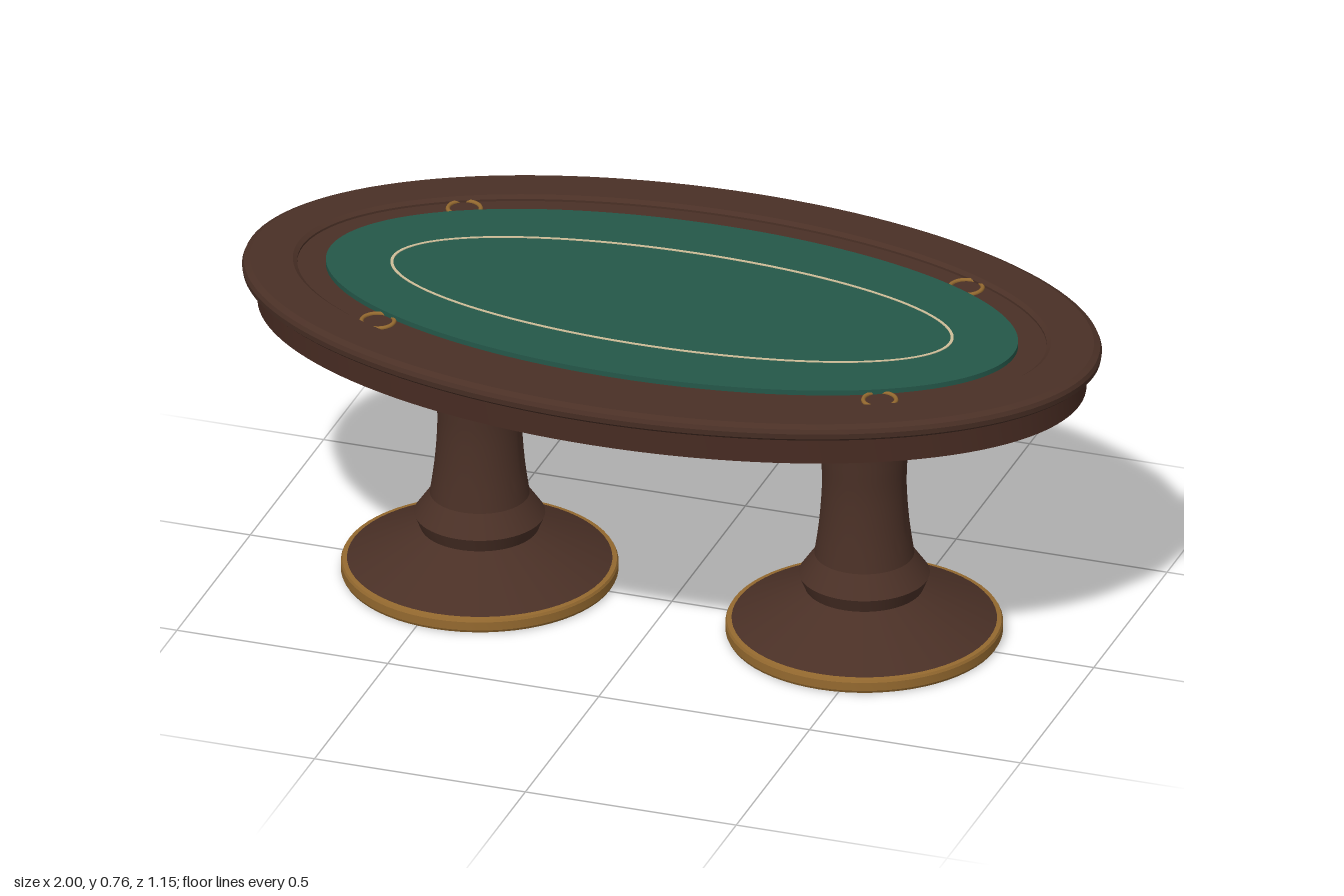
import * as THREE from 'three';
import { toCreasedNormals } from 'three/addons/utils/BufferGeometryUtils.js';

const mat = (name, color) => {
  const m = new THREE.MeshStandardMaterial({ color });
  m.name = name;
  return m;
};

// Difference between the long and short half-axes of every oval
const OVAL = 0.425;

// Revolved profile ([radius, y], bottom to top on the outside) with sharp edges
function turned(points, segments, oval = 0) {
  const geo = new THREE.LatheGeometry(points.map(([r, y]) => new THREE.Vector2(r, y)), segments);
  const p = geo.attributes.position;
  for (let i = 0; i < p.count; i++) {
    const r = Math.hypot(p.getX(i), p.getZ(i));
    if (r > 0.01) p.setZ(i, p.getZ(i) * (r - oval) / r);
  }
  return toCreasedNormals(geo, 0.45);
}

export function createModel() {
  const wood = mat('walnut', 0x4a3026);
  const apronWood = mat('apron walnut', 0x472b22);
  const felt = mat('green felt', 0x245749);
  const brass = mat('brass', 0x94692f);
  const cream = mat('cream line', 0xcdbd98);
  const dark = mat('dark base pad', 0x260c0a);

  const table = new THREE.Group();
  table.name = 'ovalCardTable';
  const add = (parent, name, geo, material, x = 0, y = 0, z = 0) => {
    const mesh = new THREE.Mesh(geo, material);
    mesh.name = name;
    mesh.position.set(x, y, z);
    parent.add(mesh);
    return mesh;
  };
  const oval = (name, points, material) => add(table, name, turned(points, 128, OVAL), material);

  // Table top, from the outside in
  oval('rail', [[0.875, 0.72], [0.99, 0.72], [0.998, 0.727], [1, 0.74], [0.996, 0.75],
    [0.982, 0.757], [0.885, 0.757], [0.875, 0.75], [0.875, 0.72]], wood);
  oval('apron', [[0.93, 0.722], [0.93, 0.65], [0.965, 0.65], [0.965, 0.722]], apronWood);
  oval('innerTrack', [[0.8, 0.72], [0.877, 0.72], [0.877, 0.745], [0.8, 0.745]], wood);
  oval('underPanel', [[0, 0.68], [0.81, 0.68], [0.81, 0.745]], wood);
  oval('feltSurface', [[0.81, 0.744], [0.81, 0.757], [0, 0.757]], felt);
  oval('bettingLine', [[0.663, 0.757], [0.663, 0.7585], [0.656, 0.7585], [0.656, 0.757]], cream);

  // Cup holders set into the track
  for (const x of [-0.595, 0.595]) for (const z of [-0.295, 0.295]) {
    const cup = new THREE.Group();
    cup.name = 'cupHolder';
    cup.position.set(x, 0, z);
    table.add(cup);
    const ring = new THREE.TorusGeometry(0.037, 0.005, 8, 32).rotateX(Math.PI / 2);
    add(cup, 'cupRing', ring, brass, 0, 0.746);
    add(cup, 'cupBody', new THREE.CylinderGeometry(0.033, 0.033, 0.025, 32), brass, 0, 0.7155);
  }

  // Two turned pedestals
  const shaft = new THREE.SplineCurve([[0.112, 0.2], [0.101, 0.28], [0.095, 0.37], [0.097, 0.44],
    [0.101, 0.5], [0.116, 0.56]].map(([r, y]) => new THREE.Vector2(r, y)))
    .getPoints(16).map((v) => [v.x, v.y]);
  for (const x of [-0.456, 0.456]) {
    const leg = new THREE.Group();
    leg.name = 'pedestal';
    leg.position.x = x;
    table.add(leg);
    const part = (name, points, material) => add(leg, name, turned(points, 64), material);
    part('basePad', [[0, 0], [0.302, 0]], dark);
    part('baseBand', [[0.302, 0], [0.308, 0.002], [0.311, 0.008], [0.311, 0.028],
      [0.308, 0.034], [0.292, 0.036]], brass);
    part('foot', [[0.3, 0.034], [0.133, 0.117]], wood);
    part('collar', [[0.133, 0.116], [0.147, 0.15], [0.112, 0.2]], wood);
    part('shaft', shaft, wood);
    part('capital', [[0.116, 0.56], [0.199, 0.63], [0.199, 0.682]], wood);
  }
  return table;
}
